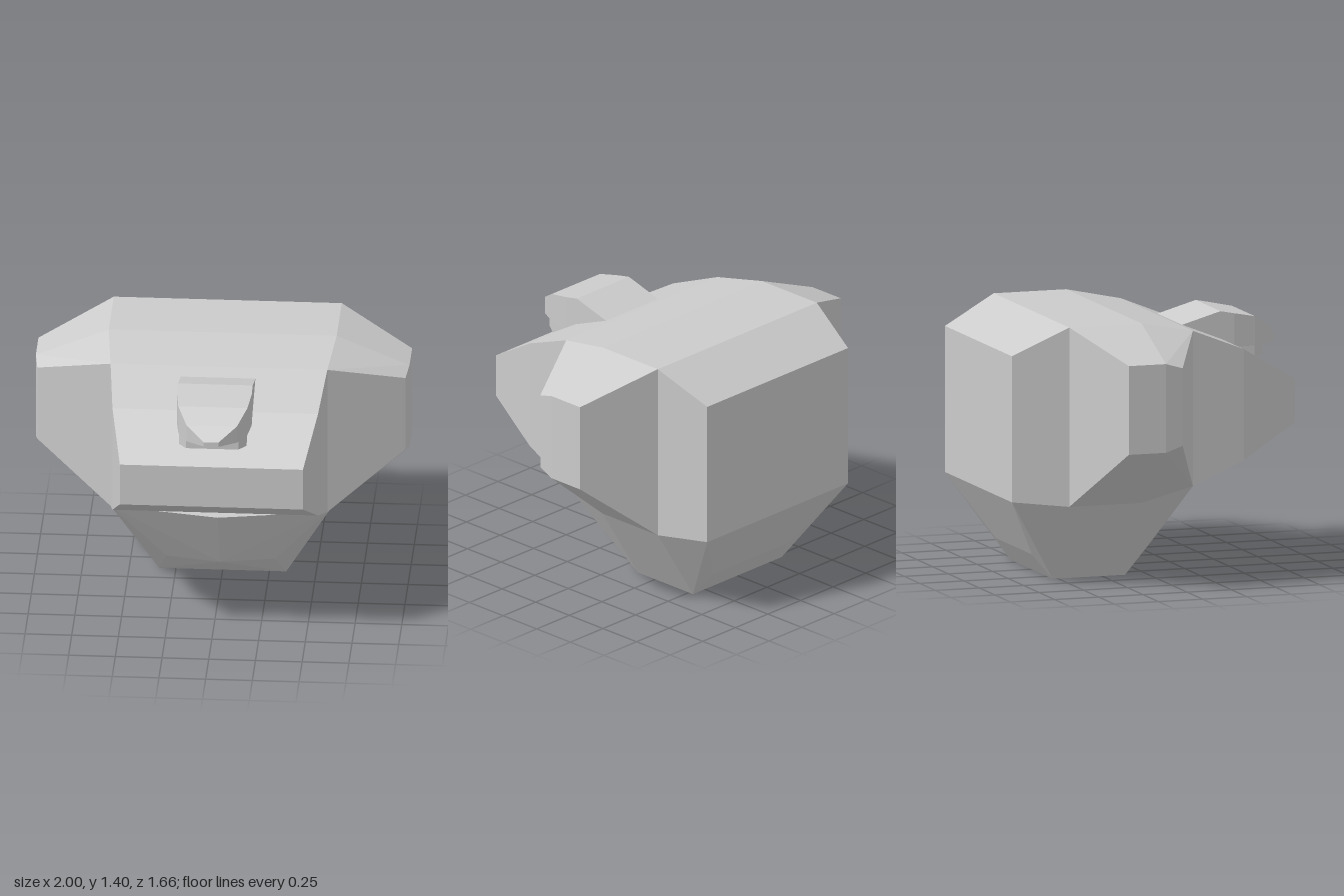
import * as THREE from 'three';
import { ConvexGeometry } from 'three/addons/geometries/ConvexGeometry.js';

const material = new THREE.MeshStandardMaterial({ color: 0xcccccc, flatShading: true });

// Faceted solid around the given corners
function solid(name, corners) {
  const mesh = new THREE.Mesh(new ConvexGeometry(corners.map((c) => new THREE.Vector3(...c))), material);
  mesh.name = name;
  return mesh;
}

// Adds the opposite-side copy of every corner
const mirrored = (corners) => corners.flatMap(([x, y, z]) => (x ? [[x, y, z], [-x, y, z]] : [[x, y, z]]));

// Stations [z, half width, bottom, top] to corners
const stations = (list) => mirrored(list.flatMap(([z, x, low, high]) => [[x, low, z], [x, high, z]]));

export function createModel() {
  const model = new THREE.Group();
  model.name = 'torso';

  // Chest, from the flat back to the narrow front
  model.add(solid('chest', stations([
    [-0.83, 0.54, 0.46, 1.25],
    [-0.53, 0.61, 0.43, 1.4],
    [-0.12, 0.61, 0.43, 1.4],
    [0.18, 0.58, 0.5, 1.34],
    [0.48, 0.55, 0.62, 1.22],
    [0.79, 0.49, 0.8, 1.035],
  ])));

  // Shoulders, tapering outwards from the chest side
  for (const [side, name] of [[1, 'leftShoulder'], [-1, 'rightShoulder']]) {
    const corners = [
      [0.61, 0.43, -0.53], [0.61, 1.4, -0.53],
      [0.61, 0.43, -0.12], [0.61, 1.4, -0.12],
      [0.58, 0.5, 0.18], [0.58, 1.34, 0.18],
      [1, 0.76, -0.33], [1, 1.24, -0.33],
      [1, 0.76, -0.12], [1, 1.24, -0.12],
      [0.985, 0.79, -0.02], [0.985, 1.21, -0.02],
    ];
    model.add(solid(name, corners.map(([x, y, z]) => [side * x, y, z])));
  }

  // Waist, narrowing to the flat base, with a ridged front
  model.add(solid('waist', mirrored([
    [0.54, 0.46, -0.83], [0.61, 0.43, -0.53], [0.61, 0.43, -0.12],
    [0.58, 0.5, 0.18], [0, 0.5, 0.29],
    [0.29, 0.145, 0.03], [0, 0.145, 0.09],
    [0.29, 0.13, -0.63],
    [0.34, 0, -0.53], [0.34, 0, -0.12],
  ])));

  // Head, a rounded hood with a pointed nose
  model.add(solid('head', stations([
    [0.25, 0.2, 1.175, 1.31],
    [0.47, 0.2, 1.175, 1.373],
    [0.55, 0.2, 1.175, 1.357],
    [0.67, 0.185, 1.175, 1.333],
    [0.77, 0.135, 1.175, 1.27],
    [0.83, 0.04, 1.175, 1.2],
  ])));

  // Jaw block under the head
  model.add(solid('jaw', stations([
    [0.55, 0.18, 1.11, 1.18],
    [0.67, 0.18, 1.11, 1.18],
    [0.73, 0.14, 1.115, 1.18],
  ])));

  return model;
}
